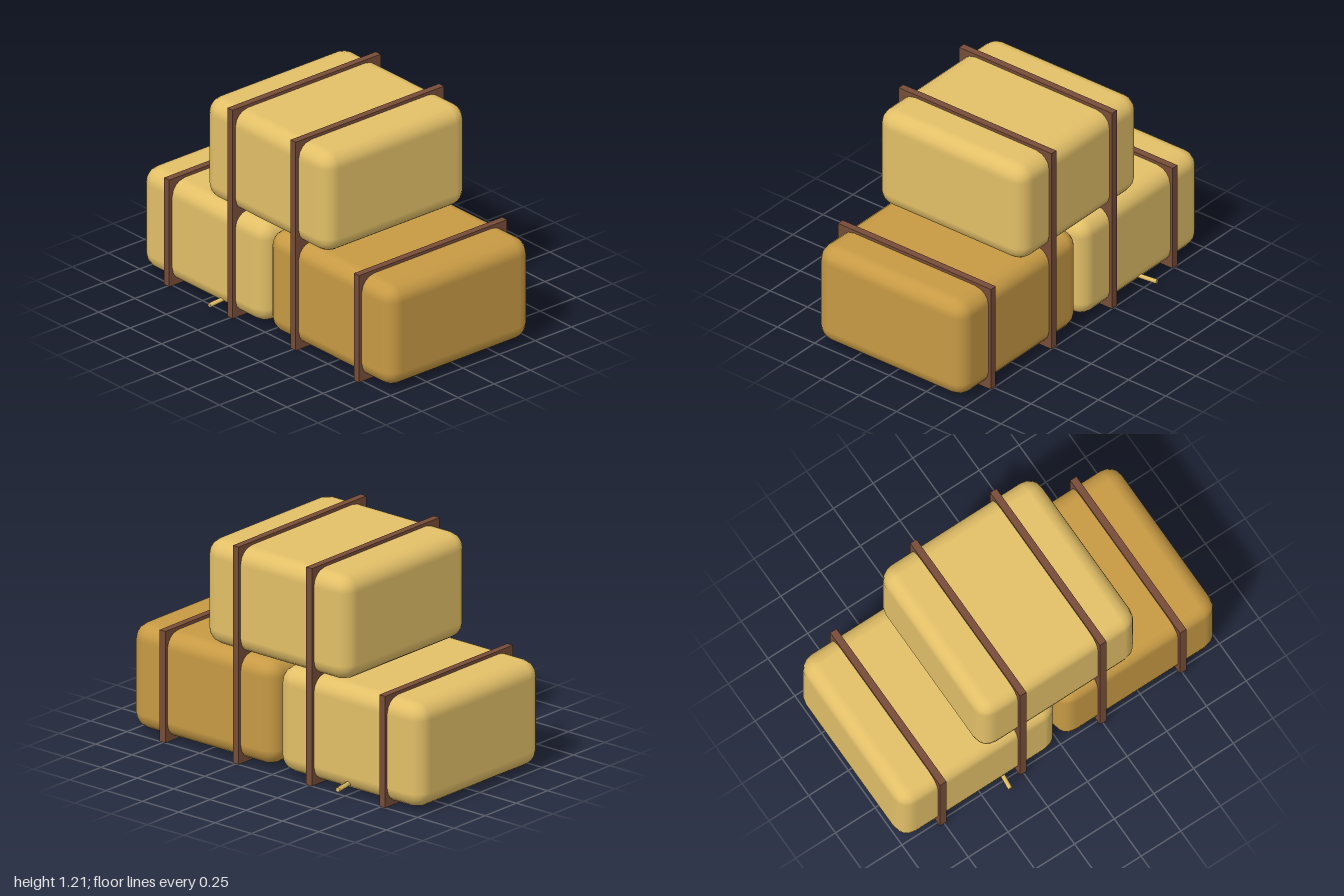
import * as THREE from 'three';
import { RoundedBoxGeometry } from 'three/addons/geometries/RoundedBoxGeometry.js';

const material = (name, color) => {
  const m = new THREE.MeshStandardMaterial({ color });
  m.name = name;
  return m;
};

// Flat strap band; the normals of its narrow rim faces point inward
function strapBand(width, height, depth) {
  const geometry = new THREE.BoxGeometry(width, height, depth);
  const normal = geometry.attributes.normal;
  for (let i = 8; i < normal.count; i++) {
    normal.setXYZ(i, -normal.getX(i), -normal.getY(i), -normal.getZ(i));
  }
  return geometry;
}

export function createModel() {
  const group = new THREE.Group();
  group.name = 'stackedBales';

  const straw = material('straw', 0xe3c068);
  const darkStraw = material('darkStraw', 0xc79a44);
  const strapBrown = material('strapBrown', 0x774d38);

  const add = (parent, name, geometry, mat, x, y, z) => {
    const mesh = new THREE.Mesh(geometry, mat);
    mesh.name = name;
    mesh.position.set(x, y, z);
    parent.add(mesh);
    return mesh;
  };

  // Rounded bale held by two straps
  const baleGeometry = new RoundedBoxGeometry(0.99, 0.585, 0.99, 2, 0.09);
  const strapGeometry = strapBand(0.04, 0.62, 1.025);
  const addBale = (name, mat, x, y) => {
    const bale = new THREE.Group();
    bale.name = name;
    bale.position.set(x, y, 0.01);
    add(bale, 'baleBody', baleGeometry, mat, 0, 0, 0);
    for (const side of [-1, 1]) {
      add(bale, 'strap', strapGeometry, strapBrown, side * 0.252, 0, 0.002);
    }
    group.add(bale);
  };
  addBale('rightBale', straw, -0.505, 0.311);
  addBale('leftBale', darkStraw, 0.503, 0.311);
  addBale('topBale', straw, -0.001, 0.901);

  // Loose stalks poking out near the ground
  const addStalk = (from, to) => {
    const a = new THREE.Vector3(...from);
    const b = new THREE.Vector3(...to);
    const geometry = new THREE.CylinderGeometry(0.014, 0.014, a.distanceTo(b), 6);
    const mid = a.clone().add(b).multiplyScalar(0.5);
    const stalk = add(group, 'looseStalk', geometry, straw, mid.x, mid.y, mid.z);
    stalk.quaternion.setFromUnitVectors(new THREE.Vector3(0, 1, 0), b.sub(a).normalize());
  };
  addStalk([-0.35, 0.07, 0.38], [-0.365, 0.045, 0.57]);
  addStalk([-0.485, 0.065, -0.38], [-0.515, 0.06, -0.575]);
  addStalk([-0.045, 0.036, 0.1], [0.015, 0.068, 0.03]);

  return group;
}
